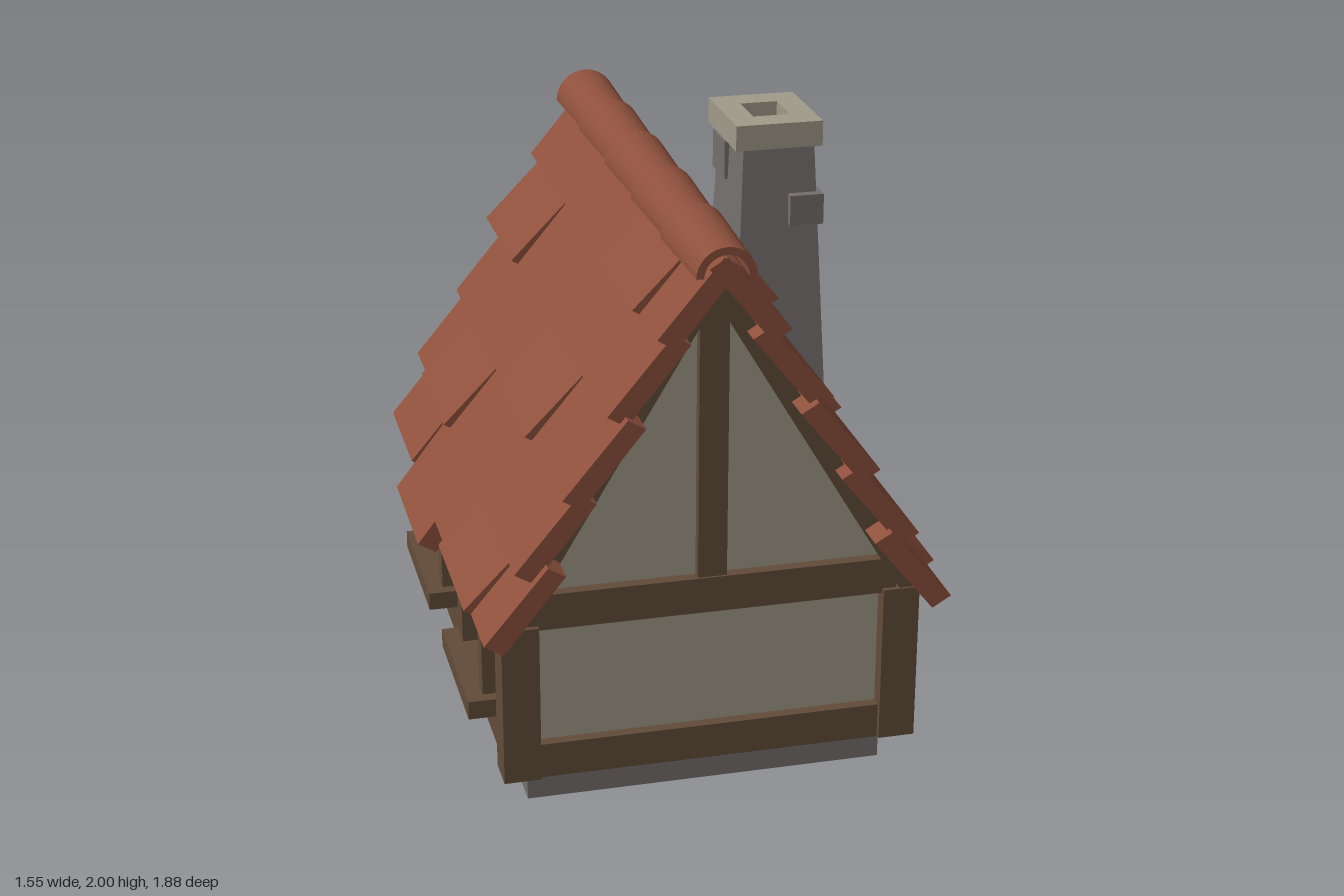
import * as THREE from 'three';

export function createModel() {
  const house = new THREE.Group();
  house.name = 'cottage';
  const mat = (name, color) => {
    const m = new THREE.MeshStandardMaterial({ color });
    m.name = name;
    return m;
  };
  const wood = mat('brown timber', 0x634c39);
  const plaster = mat('pale plaster', 0xa29b8a);
  const stone = mat('grey stone', 0x75706e);
  const clay = mat('red clay', 0x8e503c);

  const add = (name, geo, material) => {
    const m = new THREE.Mesh(geo, material);
    m.name = name;
    house.add(m);
    return m;
  };
  // Box given by its limits on each axis
  const box = (name, material, x0, x1, y0, y1, z0, z1) =>
    add(name, new THREE.BoxGeometry(x1 - x0, y1 - y0, z1 - z0)
      .translate((x0 + x1) / 2, (y0 + y1) / 2, (z0 + z1) / 2), material);
  // Outline in x and y, extruded from z0 to z1
  const prism = (pts, z0, z1) => {
    const shape = new THREE.Shape(pts.map(p => new THREE.Vector2(p[0], p[1])));
    return new THREE.ExtrudeGeometry(shape, { depth: z1 - z0, bevelEnabled: false }).translate(0, 0, z0);
  };

  // Base and walls
  box('foundation', stone, -0.565, 0.565, 0, 0.12, -0.75, 0.75);
  box('bottomBeams', wood, -0.63, 0.63, 0.112, 0.225, -0.82, 0.82);
  add('walls', prism([[-0.6, 0.2], [0.6, 0.2], [0.6, 0.67], [0, 1.68], [-0.6, 0.67]], -0.785, 0.785), plaster);

  // Timber frame
  for (const s of [-1, 1]) {
    const span = (a, b) => (s > 0 ? [a, b] : [-b, -a]);
    for (const t of [-1, 1]) {
      const z = t > 0 ? [0.72, 0.838] : [-0.838, -0.72];
      box('cornerPost', wood, ...span(0.537, 0.652), 0.115, 0.63, ...z);
    }
    box('sidePost', wood, ...span(0.56, 0.64), 0.2, 0.63, -0.058, 0.058);
    box('crossBeam', wood, -0.58, 0.58, 0.615, 0.73, ...span(0.75, 0.822));
    box('kingPost', wood, -0.045, 0.045, 0.7, 1.66, ...span(0.75, 0.815));
    add('rafters', prism([[0, 1.738], [-0.655, 0.63], [-0.59, 0.63], [0, 1.62], [0.59, 0.63], [0.655, 0.63]],
      ...span(0.77, 0.83)), wood);
  }

  // Roof tiles: d runs down the slope, n points out of it
  const d = [0.512, -0.859], n = [0.859, 0.512];
  const tile = (side, o, z0, z1, raise, slide) => {
    const at = (down, out) => [side * (o[0] + d[0] * down + n[0] * out), o[1] + d[1] * down + n[1] * out];
    add('roofTile', prism([at(slide, raise), at(slide, -0.068), at(-0.3, -0.11), at(-0.3, -0.048)], z0, z1), clay);
  };
  // lower edge, z limits, then limits of the raised tile
  const rows = [
    { o: [0.2, 1.55], z: [-0.92, 0.93], up: [0.24, 0.71] },
    { o: [0.34, 1.315], z: [-0.92, 0.9], up: [-0.92, -0.455] },
    { o: [0.48, 1.08], z: [-0.89, 0.93], up: [0.01, 0.475] },
    { o: [0.62, 0.845], z: [-0.92, 0.9], up: [-0.69, -0.225] },
    { o: [0.72, 0.637], z: [-0.89, 0.93], up: [0.24, 0.71], low: [-0.455, 0.01] },
  ];
  for (const side of [-1, 1]) {
    for (const { o, z, up, low } of rows) {
      const cuts = [...new Set([...z, ...up, ...(low || [])])].sort((a, b) => a - b);
      for (let i = 0; i + 1 < cuts.length; i++) {
        const raised = cuts[i] === up[0], slid = low && cuts[i] === low[0];
        tile(side, o, cuts[i], cuts[i + 1], raised ? 0.025 : 0, slid ? 0.105 : 0);
      }
    }
  }

  // Ridge: overlapping half-round caps, each widening towards the back
  const capShape = new THREE.Shape();
  capShape.absarc(0, 0, 0.1, 0, Math.PI, false);
  capShape.absarc(0, 0, 0.074, Math.PI, 0, true);
  for (let i = 0; i < 5; i++) {
    const geo = new THREE.ExtrudeGeometry(capShape, { depth: 0.377, bevelEnabled: false, curveSegments: 8 });
    const p = geo.attributes.position;
    for (let k = 0; k < p.count; k++) {
      const f = p.getZ(k) > 0.1 ? 0.9 : 1.02;
      p.setXY(k, p.getX(k) * f, p.getY(k) * f);
    }
    geo.computeVertexNormals();
    add('ridgeCap', geo, clay).position.set(0, 1.728, -0.942 + i * 0.3765);
  }

  // Chimney: tapered stack, hollow cap and protruding stones
  const stack = new THREE.BoxGeometry(1, 0.9, 1);
  const sp = stack.attributes.position;
  for (let k = 0; k < sp.count; k++) {
    const top = sp.getY(k) > 0;
    sp.setX(k, 0.312 + sp.getX(k) * (top ? 0.22 : 0.3));
    sp.setZ(k, 0.235 + sp.getZ(k) * (top ? 0.28 : 0.405));
  }
  stack.computeVertexNormals();
  add('chimneyStack', stack.translate(0, 1.485, 0), stone);
  const rect = (C, w, h) => new C([[-w, -h], [w, -h], [w, h], [-w, h]].map(p => new THREE.Vector2(...p)));
  const capRim = rect(THREE.Shape, 0.135, 0.163);
  capRim.holes.push(rect(THREE.Path, 0.058, 0.072));
  add('chimneyCap', new THREE.ExtrudeGeometry(capRim, { depth: 0.078, bevelEnabled: false })
    .rotateX(-Math.PI / 2).translate(0.307, 1.922, 0.235), plaster);
  box('chimneyStone', stone, 0.34, 0.445, 1.68, 1.775, 0.21, 0.415);
  box('chimneyStone', stone, 0.34, 0.457, 1.48, 1.57, 0.045, 0.27);
  box('chimneyStone', stone, 0.185, 0.28, 1.78, 1.9, 0.08, 0.22);

  // Back door with jambs and rails around three panels
  box('doorLeaf', wood, -0.16, 0.16, 0.12, 0.69, -0.828, -0.77);
  for (const x of [-0.19, 0.19]) box('doorJamb', wood, x - 0.04, x + 0.04, 0.115, 0.715, -0.855, -0.77);
  for (const x of [-0.135, 0.135]) box('doorStile', wood, x - 0.02, x + 0.02, 0.12, 0.69, -0.838, -0.8);
  for (const y of [0.14, 0.315, 0.495, 0.67]) box('doorRail', wood, -0.15, 0.15, y - 0.02, y + 0.02, -0.839, -0.8);

  // Arched back window
  const arch = new THREE.Shape();
  arch.absarc(0, 0, 0.165, 0, Math.PI, false);
  arch.absarc(0, 0, 0.115, Math.PI, 0, true);
  add('archFrame', new THREE.ExtrudeGeometry(arch, { depth: 0.085, bevelEnabled: false, curveSegments: 10 })
    .translate(0, 1.07, -0.865), wood);
  box('archSill', wood, -0.2, 0.2, 1.0, 1.07, -0.91, -0.77);
  box('archBar', wood, -0.12, 0.12, 1.105, 1.13, -0.825, -0.77);
  box('archMullion', wood, -0.015, 0.015, 1.07, 1.2, -0.83, -0.77);

  // Two windows on the right wall
  for (const z of [-0.385, 0.375]) {
    box('windowSill', wood, -0.722, -0.59, 0.23, 0.29, z - 0.25, z + 0.25);
    box('windowLintel', wood, -0.69, -0.59, 0.56, 0.62, z - 0.22, z + 0.22);
    for (const k of [-1, 1]) box('windowJamb', wood, -0.67, -0.59, 0.28, 0.57, z + k * 0.18 - 0.03, z + k * 0.18 + 0.03);
    for (const k of [-1, 1]) box('windowMullion', wood, -0.635, -0.59, 0.28, 0.57, z + k * 0.055 - 0.012, z + k * 0.055 + 0.012);
    box('windowBar', wood, -0.63, -0.59, 0.42, 0.445, z - 0.17, z + 0.17);
  }
  return house;
}
